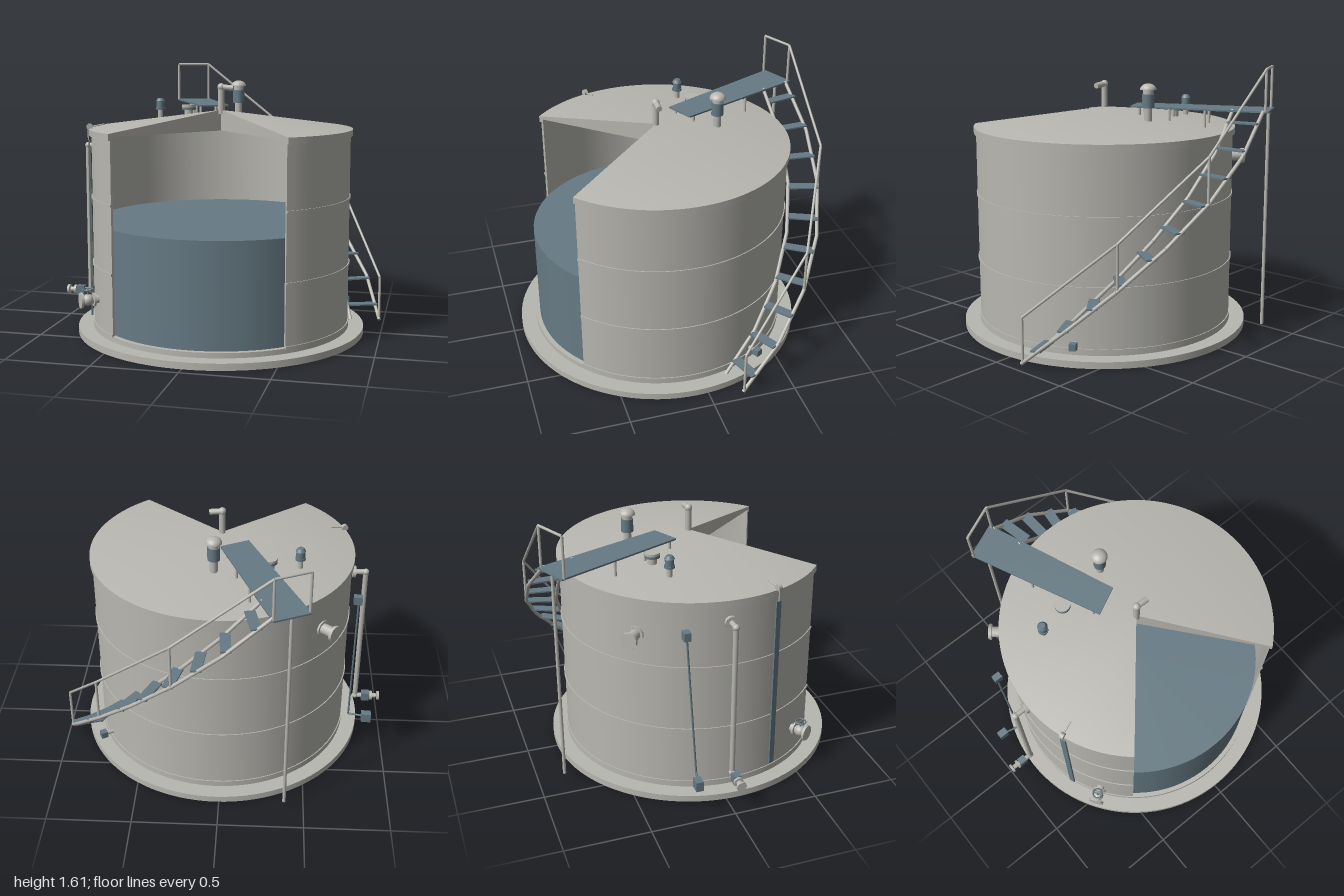
import * as THREE from 'three';
import { toCreasedNormals } from 'three/addons/utils/BufferGeometryUtils.js';

const CX = 0.02, CZ = 0.065;            // tank axis
const rad = THREE.MathUtils.degToRad;
const V = (x, y, z) => new THREE.Vector3(x, y, z);

export function createModel() {
  const steel = new THREE.MeshStandardMaterial({ color: 0xb8b7b1, side: THREE.DoubleSide });
  steel.name = 'grey steel';
  const blue = new THREE.MeshStandardMaterial({ color: 0x667a84, side: THREE.DoubleSide });
  blue.name = 'blue grey';

  const model = new THREE.Group();
  const group = (name, parent = model) => {
    const g = new THREE.Group();
    g.name = name;
    parent.add(g);
    return g;
  };
  const add = (name, geo, mat, parent = model, x = 0, y = 0, z = 0) => {
    const m = new THREE.Mesh(geo, mat);
    m.name = name;
    m.position.set(x, y, z);
    parent.add(m);
    return m;
  };
  const box = (name, w, h, d, mat, parent, x, y, z) =>
    add(name, new THREE.BoxGeometry(w, h, d), mat, parent, x, y, z);
  // upright cylinder from y0 to y1
  const post = (name, r, y0, y1, mat, parent, x, z, rTop = r, seg = 20) =>
    add(name, new THREE.CylinderGeometry(rTop, r, y1 - y0, seg), mat, parent, x, (y0 + y1) / 2, z);
  // straight bar between two points
  const bar = (name, a, b, r, mat, parent) => {
    const m = add(name, new THREE.CylinderGeometry(r, r, a.distanceTo(b), 10), mat, parent);
    m.position.copy(a).lerp(b, 0.5);
    m.quaternion.setFromUnitVectors(V(0, 1, 0), b.clone().sub(a).normalize());
    return m;
  };
  const chain = (name, pts, r, mat, parent) => {
    for (let i = 1; i < pts.length; i++) bar(name, pts[i - 1], pts[i], r, mat, parent);
  };
  // group on the tank axis whose local +z points outward at angle phi
  const radial = (name, phi) => {
    const g = group(name);
    g.position.set(CX, 0, CZ);
    g.rotation.y = rad(phi);
    return g;
  };
  const along = (name, r, z0, z1, y, mat, parent) =>
    bar(name, V(0, y, z0), V(0, y, z1), r, mat, parent);

  const tank = group('tank');
  tank.position.set(CX, 0, CZ);

  // foundation, floor and stored liquid
  post('foundation', 0.877, 0, 0.04, steel, tank, 0, 0, 0.877, 96);
  post('floorPlate', 0.785, 0.04, 0.07, steel, tank, 0, 0, 0.785, 96);
  post('liquid', 0.757, 0.07, 0.685, blue, tank, 0, 0, 0.757, 96);

  // solids of revolution with an 80 degree opening at the front
  const cut = 40;
  const sector = (name, profile) => {
    const g = group(name, tank);
    const pts = [...profile, profile[0]].map(p => new THREE.Vector2(...p));
    const body = new THREE.LatheGeometry(pts, 84, rad(cut), rad(360 - 2 * cut));
    add(name + 'Body', toCreasedNormals(body, rad(25)), steel, g);
    for (const phi of [cut, 360 - cut]) {
      const cap = new THREE.ShapeGeometry(new THREE.Shape(pts.slice(0, -1)));
      add(name + 'CutFace', cap, steel, g).rotation.y = rad(phi - 90);
    }
  };
  const ring = (name, r0, r1, y0, y1) => sector(name, [[r1, y0], [r1, y1], [r0, y1], [r0, y0]]);
  ring('wall', 0.767, 0.78, 0.07, 1.22);
  for (const y of [0.07, 0.43, 0.83]) ring('girthRing', 0.779, 0.786, y - 0.008, y + 0.008);
  ring('roofRim', 0.779, 0.793, 1.2, 1.236);
  sector('roof', [[0, 1.22], [0.793, 1.22], [0.793, 1.238], [0, 1.345]]);

  // centre gooseneck vent
  const neck = group('gooseneckVent');
  post('ventPipe', 0.019, 1.32, 1.48, steel, neck, CX, CZ);
  add('ventElbow', new THREE.SphereGeometry(0.023, 20, 14), steel, neck, CX, 1.482, CZ);
  bar('ventOutlet', V(CX, 1.482, CZ), V(0.095, 1.475, CZ), 0.018, steel, neck);

  // mushroom vent
  const mush = group('mushroomVent');
  post('stem', 0.023, 1.27, 1.37, steel, mush, 0.05, -0.305);
  post('body', 0.036, 1.37, 1.45, blue, mush, 0.05, -0.305);
  post('collar', 0.03, 1.45, 1.48, steel, mush, 0.05, -0.305);
  const dome = new THREE.SphereGeometry(0.048, 24, 10, 0, Math.PI * 2, 0, Math.PI / 2);
  add('cap', dome, steel, mush, 0.05, 1.475, -0.305).scale.y = 0.75;

  // small roof valve and roof nozzle
  const valve = group('roofValve');
  post('stem', 0.016, 1.26, 1.33, steel, valve, -0.44, -0.205);
  post('flange', 0.03, 1.325, 1.34, blue, valve, -0.44, -0.205);
  post('head', 0.026, 1.34, 1.385, blue, valve, -0.44, -0.205);
  post('cap', 0.03, 1.38, 1.398, blue, valve, -0.44, -0.205, 0.018);
  const nozzle = group('roofNozzle');
  post('stem', 0.027, 1.27, 1.33, steel, nozzle, -0.265, -0.25);
  post('flange', 0.045, 1.325, 1.34, blue, nozzle, -0.265, -0.25);
  post('cover', 0.045, 1.34, 1.355, steel, nozzle, -0.265, -0.25);

  // walkway over the roof
  const walk = group('walkway');
  const deck = new THREE.Shape([[-0.49, 0.82], [-0.14, 0.065], [0.02, 0.145], [-0.29, 0.91]]
    .map(p => new THREE.Vector2(...p)));
  const deckGeo = new THREE.ExtrudeGeometry(deck, { depth: 0.01, bevelEnabled: false });
  add('deck', deckGeo.rotateX(-Math.PI / 2), blue, walk, 0, 1.355, 0);
  for (const [x, z, y] of [[-0.15, -0.11, 1.3], [-0.02, -0.18, 1.31], [-0.22, -0.28, 1.28],
    [-0.08, -0.36, 1.28], [-0.31, -0.48, 1.25], [-0.16, -0.56, 1.25]])
    post('deckLeg', 0.008, y, 1.358, steel, walk, x, z);
  post('supportColumn', 0.01, 0.06, 1.358, steel, walk, -0.385, -0.85);
  const railA = V(-0.48, 1.605, -0.805), railB = V(-0.29, 1.605, -0.89);
  for (const p of [railA, railB]) post('endPost', 0.008, 1.36, 1.605, steel, walk, p.x, p.z);
  bar('endRail', railA, railB, 0.008, steel, walk);

  // curved stair: angle runs from the back toward the left side
  const stair = group('stair');
  const heightAt = a => 0.115 + (70.5 - a) / 9.3 * 0.132;
  const onArc = (r, a, dy = 0) =>
    V(CX + r * Math.sin(rad(a)), heightAt(a) + dy, CZ - r * Math.cos(rad(a)));
  for (let i = 0; i < 10; i++) {
    const a = 70.5 - 9.3 * i, p = onArc(0.9, a);
    box('tread', 0.06, 0.009, 0.18, blue, stair, p.x, p.y, p.z).rotation.y = -rad(a);
  }
  for (const r of [0.81, 0.99]) {
    const pts = [];
    for (let i = 0; i <= 6; i++) pts.push(onArc(r, 75.5 - i * 15.6, -0.01));
    chain('stringer', pts, 0.011, steel, stair);
  }
  const railPts = [75, 44, 13.5].map(a => onArc(0.99, a, 0.25));
  for (const p of railPts) post('railPost', 0.008, p.y - 0.26, p.y, steel, stair, p.x, p.z);
  chain('handrail', [...railPts, railB], 0.008, steel, stair);

  // side standpipe with bottom valve
  const pipe = group('standpipe');
  chain('pipe', [V(-0.76, 1.11, 0.035), V(-0.845, 1.11, 0.035), V(-0.845, 0.175, 0.035),
    V(-0.98, 0.175, 0.035)], 0.016, steel, pipe);
  for (const y of [1.11, 0.175])
    add('elbow', new THREE.SphereGeometry(0.02, 16, 12), steel, pipe, -0.845, y, 0.035);
  bar('wallFlange', V(-0.785, 1.11, 0.035), V(-0.765, 1.11, 0.035), 0.036, steel, pipe);
  bar('endFlange', V(-1, 0.175, 0.035), V(-0.985, 0.175, 0.035), 0.03, steel, pipe);
  bar('valveFlange', V(-0.955, 0.175, 0.035), V(-0.94, 0.175, 0.035), 0.03, steel, pipe);
  box('valveBody', 0.05, 0.055, 0.045, blue, pipe, -0.91, 0.175, 0.035);

  // sensor boxes joined by a thin conduit
  const sensor = group('sensor');
  box('upperBox', 0.05, 0.05, 0.04, blue, sensor, -0.785, 1.075, -0.225);
  box('lowerBox', 0.06, 0.06, 0.045, blue, sensor, -0.9, 0.18, -0.19);
  chain('conduit', [V(-0.79, 1.07, -0.225), V(-0.79, 0.18, -0.165), V(-0.9, 0.18, -0.19)],
    0.006, blue, sensor);

  // level gauge board with pulley and arm
  const gauge = radial('levelGauge', -70.4);
  box('board', 0.035, 1.07, 0.01, blue, gauge, 0, 0.635, 0.794);
  bar('cable', V(0, 1.17, 0.798), V(0, 1.25, 0.798), 0.004, steel, gauge);
  bar('pulley', V(-0.012, 1.25, 0.79), V(0.012, 1.25, 0.79), 0.02, steel, gauge);
  bar('arm', V(0, 1.25, 0.79), V(0, 1.265, 0.7), 0.004, steel, gauge);

  // outlet valve with handwheel
  const outlet = radial('outletValve', -55.6);
  along('pipe', 0.025, 0.77, 0.885, 0.245, steel, outlet);
  along('innerFlange', 0.042, 0.8, 0.812, 0.245, steel, outlet);
  along('outerFlange', 0.048, 0.875, 0.89, 0.245, steel, outlet);
  add('body', new THREE.SphereGeometry(0.035, 20, 14), steel, outlet, 0, 0.245, 0.842);
  post('spindle', 0.007, 0.25, 0.31, blue, outlet, 0, 0.842);
  const wheel = new THREE.TorusGeometry(0.03, 0.005, 8, 24).rotateX(Math.PI / 2);
  add('handwheel', wheel, blue, outlet, 0, 0.308, 0.842);
  box('spoke', 0.06, 0.006, 0.006, blue, outlet, 0, 0.308, 0.842);

  // upper inlet nozzle
  const inlet = radial('inletNozzle', -130.7);
  along('pipe', 0.032, 0.77, 0.87, 1.02, steel, inlet);
  along('wallPad', 0.046, 0.778, 0.79, 1.02, steel, inlet);
  along('flange', 0.048, 0.86, 0.878, 1.02, steel, inlet);

  // drain valve beside the stair
  const drain = radial('drainValve', 120);
  along('pipe', 0.012, 0.77, 0.83, 0.11, steel, drain);
  box('body', 0.04, 0.04, 0.04, blue, drain, 0, 0.11, 0.84);
  return model;
}
